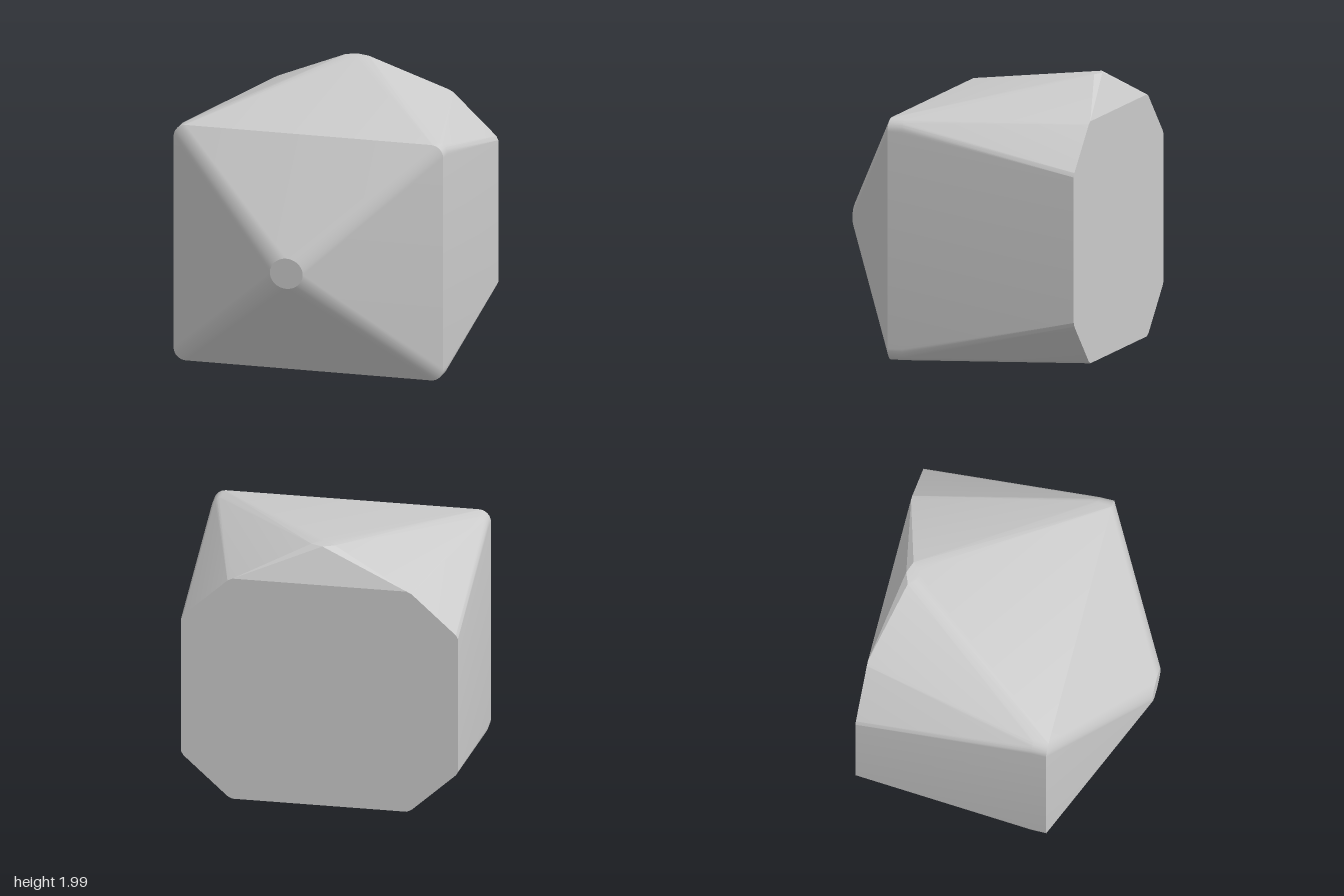
import * as THREE from 'three';
import { ConvexGeometry } from 'three/addons/geometries/ConvexGeometry.js';
import { toCreasedNormals } from 'three/addons/utils/BufferGeometryUtils.js';

const MID_Y = 0.88, HALF_Y = 0.873;
const FRONT_Z = 0.42, BACK_Z = -0.98, TIP_Z = 0.98;

export function createModel() {
  const group = new THREE.Group();
  const points = [];
  const add = (x, y, z) => points.push(new THREE.Vector3(x, y, z));

  // Rounded square section, a short straight band behind the pyramid base
  const radius = 0.09, steps = 8;
  for (const z of [FRONT_Z, 0.31]) {
    for (const sx of [1, -1]) for (const sy of [1, -1]) {
      for (let i = 0; i <= steps; i++) {
        const a = (i / steps) * Math.PI / 2;
        add(sx * (1 - radius + radius * Math.cos(a)),
          MID_Y + sy * (HALF_Y - radius + radius * Math.sin(a)), z);
      }
    }
  }

  // Octagonal back face with slightly eased corners
  const backCorner = [[1, 0.525], [0.985, 0.555], [0.665, 0.855], [0.63, HALF_Y]];
  for (const sx of [1, -1]) for (const sy of [1, -1]) {
    for (const [x, y] of backCorner) add(sx * x, MID_Y + sy * y, BACK_Z);
  }

  // Flattened oval tip of the front pyramid
  for (let i = 0; i < 32; i++) {
    const a = (i / 32) * Math.PI * 2;
    add(0.122 * Math.cos(a), MID_Y + 0.112 * Math.sin(a), TIP_Z);
  }

  // Small flat peak on top, near the back
  add(0, 2, -0.755);
  add(0, 2, -0.857);
  for (const s of [1, -1]) {
    add(s * 0.05, 2, -0.78);
    add(s * 0.085, 2, -0.825);
  }

  const body = new THREE.Mesh(
    toCreasedNormals(new ConvexGeometry(points), 0.21),
    new THREE.MeshStandardMaterial({ color: 0xcccccc })
  );
  body.name = 'facetedBody';
  group.add(body);
  return group;
}
